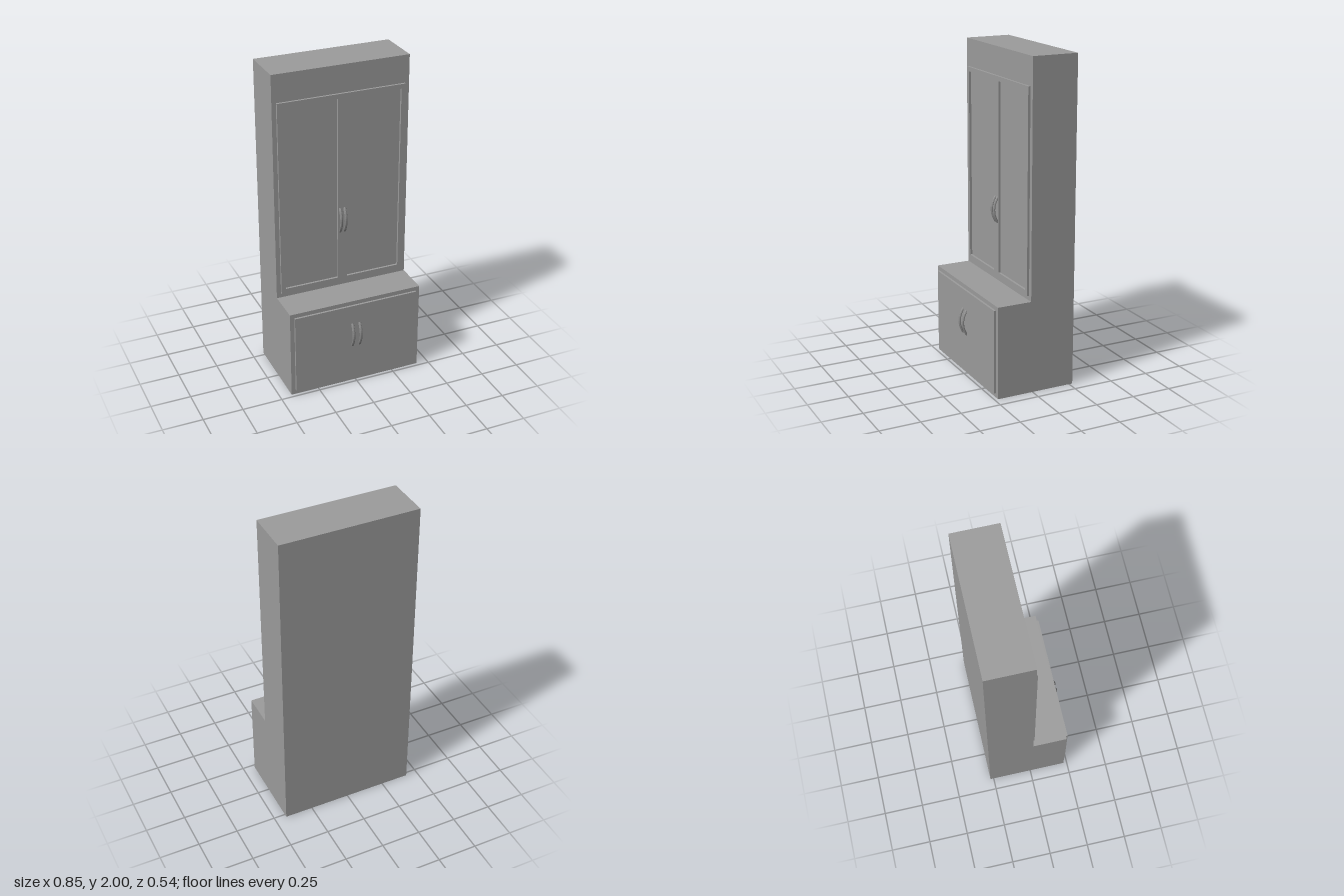
import * as THREE from 'three';

const W = 0.427; // half width of the cabinet
const material = new THREE.MeshStandardMaterial({ color: 0x9b9b9b });
const handleMaterial = new THREE.MeshStandardMaterial({ color: 0x8c8c8c, flatShading: true });

function add(parent, name, geometry, x = 0, y = 0, z = 0, mat = material) {
  const mesh = new THREE.Mesh(geometry, mat);
  mesh.name = name;
  mesh.position.set(x, y, z);
  parent.add(mesh);
}

function rectangle(Type, x0, x1, y0, y1) {
  return new Type([[x0, y0], [x1, y0], [x1, y1], [x0, y1]].map(p => new THREE.Vector2(...p)));
}

// Bowed, faceted pull handle, its ends sunk into the door face at z = 0
function handleGeometry() {
  const points = [];
  for (let i = 0; i <= 10; i++) {
    const t = -1 + i / 5;
    points.push(new THREE.Vector3(0, 0.079 * t, 0.022 - 0.025 * t * t));
  }
  const curve = new THREE.CatmullRomCurve3(points);
  return new THREE.TubeGeometry(curve, 12, 0.007, 8).scale(1.35, 1, 1);
}

export function createModel() {
  const model = new THREE.Group();
  model.name = 'cabinet';

  // Stepped carcass: deep base with a shallower upper cupboard
  const profile = new THREE.Shape([
    [-0.272, 0], [0.228, 0], [0.228, 0.57], [0.013, 0.57], [0.013, 2], [-0.272, 2],
  ].map(p => new THREE.Vector2(...p)));
  const carcass = new THREE.ExtrudeGeometry(profile, { depth: 2 * W, bevelEnabled: false });
  carcass.rotateY(-Math.PI / 2).translate(W, 0, 0);
  add(model, 'carcass', carcass);

  // Upper door frame with two recessed panels
  const frame = rectangle(THREE.Shape, -0.4, 0.4, 0.6, 1.83);
  frame.holes.push(
    rectangle(THREE.Path, -0.372, -0.029, 0.63, 1.802),
    rectangle(THREE.Path, 0.03, 0.373, 0.63, 1.802),
  );
  add(model, 'upperDoorFrame',
    new THREE.ExtrudeGeometry(frame, { depth: 0.015, bevelEnabled: false }), 0, 0, 0.012);

  // Lower door slab
  add(model, 'lowerDoor', new THREE.BoxGeometry(0.8, 0.516, 0.015), 0, 0.286, 0.234);

  // Handle pairs
  const handle = handleGeometry();
  for (const x of [-0.015, 0.014]) add(model, 'upperHandle', handle, x, 1.024, 0.027, handleMaterial);
  for (const x of [-0.027, 0.021]) add(model, 'lowerHandle', handle, x, 0.341, 0.2415, handleMaterial);

  return model;
}
